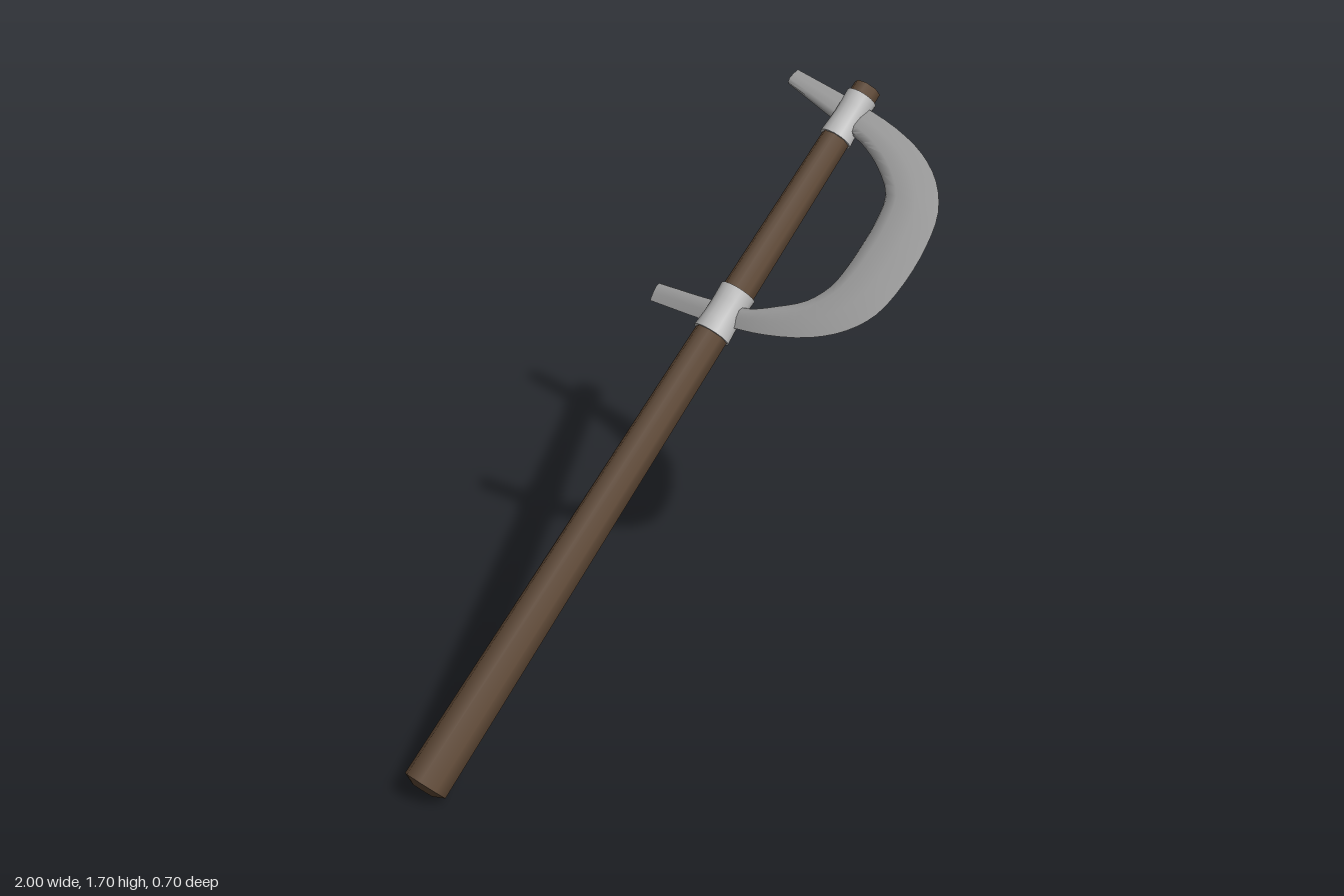
import * as THREE from 'three';
import { toCreasedNormals } from 'three/addons/utils/BufferGeometryUtils.js';

const wood = new THREE.MeshStandardMaterial({ color: 0x5c4633 });
wood.name = 'dark wood';
const steel = new THREE.MeshStandardMaterial({ color: 0x999999 });
steel.name = 'steel';
const paleSteel = new THREE.MeshStandardMaterial({ color: 0xbcbcbc });
paleSteel.name = 'pale steel';

const SIDES = 8, LENGTH = 2.516, BUTT = 0.073, TIP = 0.045;
const shaftRadius = (u) => BUTT + (TIP - BUTT) * u / LENGTH;

function addMesh(parent, name, geometry, material) {
  const mesh = new THREE.Mesh(geometry, material);
  mesh.name = name;
  parent.add(mesh);
  return mesh;
}

// Tapered eight-sided rod between two heights on the shaft axis
function rod(u0, u1, r0, r1) {
  return new THREE.CylinderGeometry(r1, r0, u1 - u0, SIDES)
    .rotateY(Math.PI / SIDES).translate(0, (u0 + u1) / 2, 0);
}

// Collar with a slight waist where the blade passes through
function collar(u0, u1) {
  const points = [[0, -0.012], [0, 0.006], [0.3, 0.003], [0.5, 0.002], [0.7, 0.003], [1, 0.006], [1, -0.012]]
    .map(([t, extra]) => {
      const u = u0 + (u1 - u0) * t;
      return new THREE.Vector2(shaftRadius(u) + extra, u);
    });
  return toCreasedNormals(new THREE.LatheGeometry(points, 16), 0.7);
}

// Crescent blade: lens sections lofted between an inner and an outer edge
function blade() {
  // outer height, outer z, inner height, inner z, half thickness
  const stations = [
    [1.609, -0.24, 1.672, -0.24, 0.012],
    [1.630, -0.04, 1.700, -0.04, 0.018],
    [1.644, 0.04, 1.725, 0.08, 0.021],
    [1.672, 0.16, 1.769, 0.15, 0.021],
    [1.725, 0.29, 1.825, 0.22, 0.020],
    [1.793, 0.38, 1.898, 0.26, 0.020],
    [1.876, 0.435, 1.975, 0.27, 0.020],
    [2.000, 0.458, 2.055, 0.272, 0.020],
    [2.134, 0.455, 2.132, 0.27, 0.020],
    [2.242, 0.43, 2.226, 0.25, 0.020],
    [2.328, 0.37, 2.293, 0.18, 0.020],
    [2.391, 0.28, 2.334, 0.11, 0.020],
    [2.433, 0.16, 2.352, 0.06, 0.020],
    [2.458, 0.01, 2.366, 0.01, 0.018],
    [2.482, -0.24, 2.427, -0.24, 0.012],
  ];
  const section = [[0, 0], [0.06, 0.7], [0.25, 1], [0.6, 0.7], [1, 0], [0.6, -0.7], [0.25, -1], [0.06, -0.7]];
  const curve = (f) => new THREE.CatmullRomCurve3(stations.map(f));
  const outer = curve((s) => new THREE.Vector3(0, s[0], s[1]));
  const inner = curve((s) => new THREE.Vector3(0, s[2], s[3]));
  const thick = curve((s, i) => new THREE.Vector3(s[4], i, 0));
  const steps = 42, n = section.length, positions = [], index = [];
  for (let i = 0; i <= steps; i++) {
    const t = i / steps;
    const a = inner.getPoint(t), b = outer.getPoint(t), h = thick.getPoint(t).x;
    for (const [across, side] of section) {
      const p = a.clone().lerp(b, across);
      // the whole blade leans gently off the shaft
      positions.push(0.15 * p.z - 0.005 + side * h, p.y, p.z);
    }
  }
  for (let i = 0; i < steps; i++) {
    for (let j = 0; j < n; j++) {
      const k = (j + 1) % n, p = i * n, q = p + n;
      index.push(p + j, q + j, q + k, p + j, q + k, p + k);
    }
  }
  for (let k = 1; k < n - 1; k++) {
    const e = steps * n;
    index.push(0, k, k + 1, e, e + k + 1, e + k);
  }
  const geometry = new THREE.BufferGeometry();
  geometry.setAttribute('position', new THREE.Float32BufferAttribute(positions, 3));
  geometry.setIndex(index);
  return toCreasedNormals(geometry, 0.9);
}

export function createModel() {
  const model = new THREE.Group();
  model.name = 'polearm';

  // Everything is built along the shaft, then leaned over
  const weapon = new THREE.Group();
  weapon.name = 'weapon';
  weapon.position.set(-0.957, 0.057, -0.11);
  weapon.rotation.z = -(Math.PI / 2 - Math.atan2(1.615, 1.929));
  model.add(weapon);

  addMesh(weapon, 'shaft', rod(0, LENGTH, BUTT, TIP), wood);
  addMesh(weapon, 'shaftButt', rod(-0.016, 0, 0.035, BUTT), wood);
  addMesh(weapon, 'lowerCollar', collar(1.6, 1.755), paleSteel);
  addMesh(weapon, 'upperCollar', collar(2.325, 2.48), paleSteel);
  addMesh(weapon, 'blade', blade(), steel);
  return model;
}
